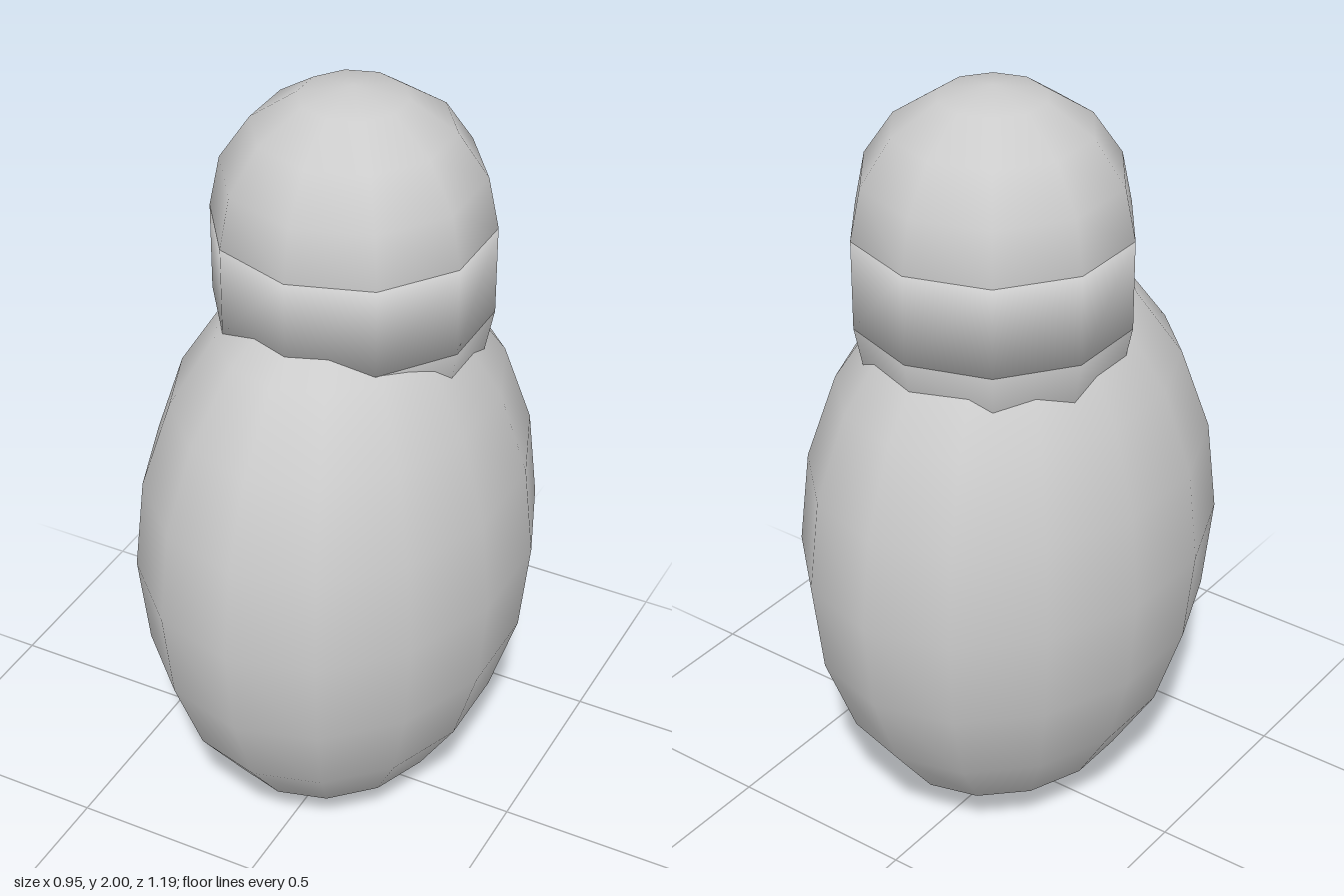
import * as THREE from 'three';
import { mergeVertices } from 'three/addons/utils/BufferGeometryUtils.js';

export function createModel() {
  const model = new THREE.Group();
  model.name = 'figure';
  const grey = new THREE.MeshStandardMaterial({ color: 0xcccccc });
  grey.name = 'plain grey';

  const add = (parent, name, geometry) => {
    const mesh = new THREE.Mesh(geometry, grey);
    mesh.name = name;
    parent.add(mesh);
    return mesh;
  };

  // Egg-shaped body, with a column of corners facing front and back
  const bodyShape = new THREE.SphereGeometry(1, 14, 10);
  bodyShape.rotateY(Math.PI / 2);
  bodyShape.scale(0.487, 0.78, 0.595);
  add(model, 'body', bodyShape).position.y = 0.78;

  // Capsule head: two domes and a band between them
  const head = new THREE.Group();
  head.name = 'head';
  head.position.z = -0.0675;
  model.add(head);
  const radius = 0.347, bandTop = 1.655, bandBottom = 1.425;

  const dome = (name, y, start) => {
    const shape = new THREE.SphereGeometry(radius, 10, 4, 0, Math.PI * 2, start, Math.PI / 2);
    shape.rotateY(Math.PI / 2);
    shape.scale(1, 0.345 / radius, 1);
    add(head, name, shape).position.y = y;
  };
  dome('headTop', bandTop, 0);
  dome('headBottom', bandBottom, Math.PI / 2);

  // Closed band with normals softened across its rims
  let band = new THREE.CylinderGeometry(radius, radius, bandTop - bandBottom, 10);
  band.deleteAttribute('normal');
  band.deleteAttribute('uv');
  band = mergeVertices(band);
  band.computeVertexNormals();
  add(head, 'headBand', band).position.y = (bandTop + bandBottom) / 2;

  return model;
}
